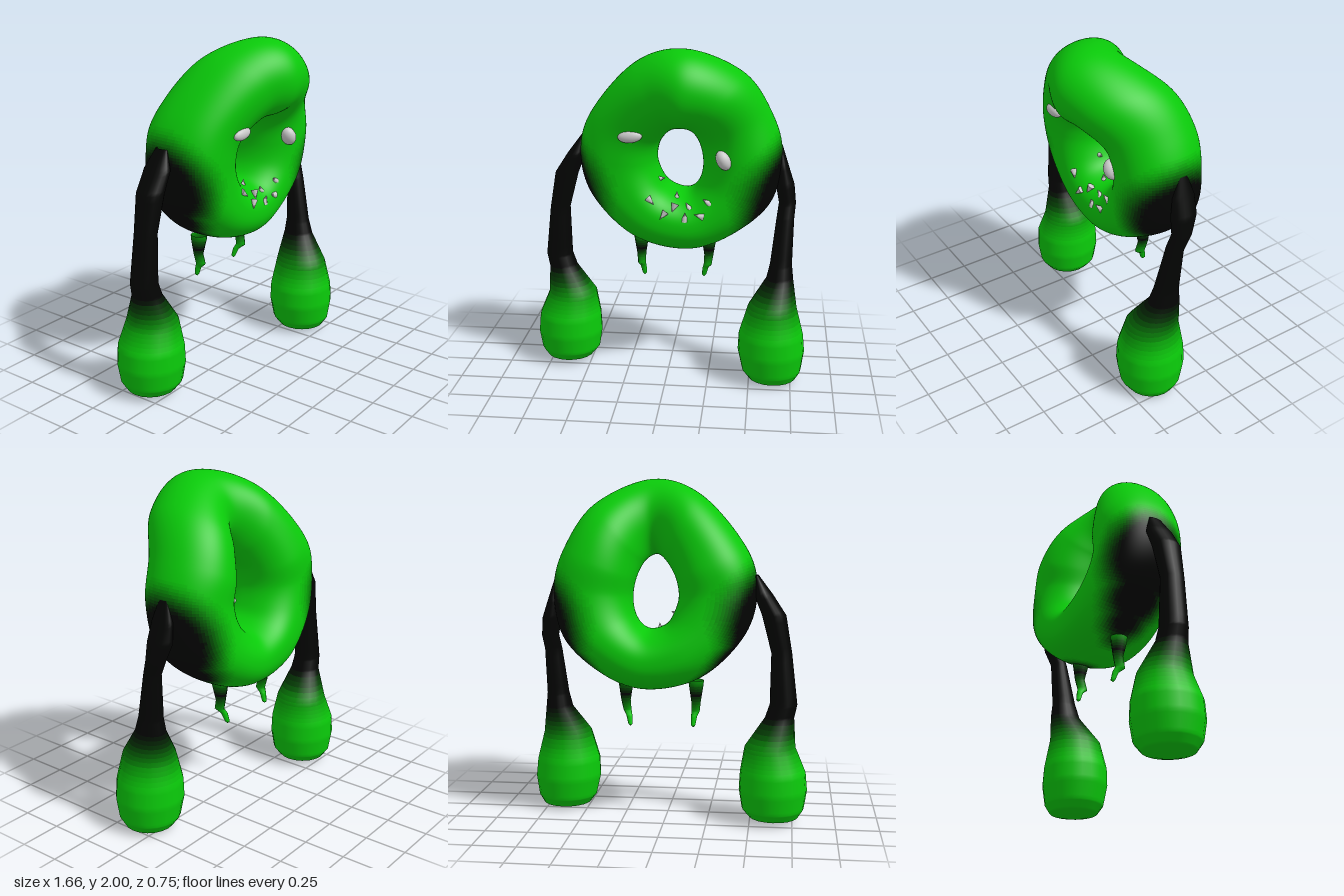
import * as THREE from 'three';

const BLACK = new THREE.Color(0x030403), GREEN = new THREE.Color(0x0aca0a);
const SHADES = 20;
const paint = Array.from({ length: SHADES }, (_, i) => new THREE.MeshStandardMaterial({
  color: BLACK.clone().lerp(GREEN, (i / (SHADES - 1)) ** 1.6), side: THREE.DoubleSide }));
const grey = new THREE.MeshStandardMaterial({ color: 0xcccccc });

// Skin over a list of closed rings; loop joins the last ring to the first
function loft(rings, loop) {
  const m = rings[0].length, n = rings.length, index = [];
  for (let i = 0; i < (loop ? n : n - 1); i++) {
    for (let j = 0; j < m; j++) {
      const k = (i + 1) % n, l = (j + 1) % m;
      const a = i * m + j, b = k * m + j, c = k * m + l, d = i * m + l;
      index.push(a, b, d, b, c, d);
    }
  }
  const geo = new THREE.BufferGeometry().setFromPoints(rings.flat());
  geo.setIndex(index);
  geo.computeVertexNormals();
  return geo;
}

// Splits a skin, four-sided patch by patch, into bands from black (0) to green (1)
function shaded(name, geo, shade) {
  const group = new THREE.Group();
  group.name = name;
  const bins = Array.from({ length: SHADES }, () => []);
  const pos = geo.attributes.position, idx = geo.index.array;
  const p = new THREE.Vector3(), v = new THREE.Vector3();
  for (let i = 0; i < idx.length; i += 6) {
    const patch = idx.slice(i, i + 6);
    p.set(0, 0, 0);
    patch.forEach(k => p.add(v.fromBufferAttribute(pos, k)));
    const s = THREE.MathUtils.clamp(shade(p.divideScalar(6)), 0, 1);
    bins[Math.round(s * (SHADES - 1))].push(...patch);
  }
  bins.forEach((bin, i) => {
    if (!bin.length) return;
    const part = new THREE.BufferGeometry();
    part.setAttribute('position', pos);
    part.setAttribute('normal', geo.attributes.normal);
    part.setIndex(bin);
    const mesh = new THREE.Mesh(part, paint[i]);
    mesh.name = `${name}Shade${i}`;
    group.add(mesh);
  });
  return group;
}

// Limb from horizontal rings [x, y, z, radiusX, radiusZ], listed from the top down
function limb(name, rows, sides, shade) {
  const rings = [], steps = 6;
  const ring = ([x, y, z, rx, rz]) => Array.from({ length: sides }, (_, j) => {
    const a = (j / sides) * Math.PI * 2;
    return new THREE.Vector3(x + rx * Math.cos(a), y, z - rz * Math.sin(a));
  });
  for (let i = 0; i < rows.length - 1; i++) {
    for (let s = 0; s < steps; s++) {
      rings.push(ring(rows[i].map((q, k) => THREE.MathUtils.lerp(q, rows[i + 1][k], s / steps))));
    }
  }
  rings.push(ring(rows[rows.length - 1]));
  return shaded(name, loft(rings, false), shade);
}

// Ring body: outer x, outer y, inner x, inner y, centre z, half depth
function bodyGeometry() {
  const stations = [
    [0.665, 1.37, 0.2, 1.32, -0.065, 0.25], [0.595, 1.62, 0.18, 1.43, -0.05, 0.26],
    [0.43, 1.86, 0.14, 1.52, 0.04, 0.28], [0.11, 2.0, 0.08, 1.555, 0.14, 0.24],
    [-0.19, 1.91, 0.01, 1.52, 0.04, 0.265], [-0.46, 1.61, -0.055, 1.43, -0.055, 0.265],
    [-0.53, 1.36, -0.075, 1.32, -0.075, 0.255], [-0.46, 1.1, -0.045, 1.22, -0.09, 0.26],
    [-0.22, 0.86, 0.0, 1.16, -0.1, 0.27], [0.09, 0.78, 0.08, 1.13, -0.1, 0.27],
    [0.35, 0.855, 0.14, 1.15, -0.1, 0.265], [0.6, 1.07, 0.185, 1.22, -0.085, 0.255]];
  const outer = new THREE.CatmullRomCurve3(stations.map(s => new THREE.Vector3(s[0], s[1], s[4])), true);
  const inner = new THREE.CatmullRomCurve3(stations.map(s => new THREE.Vector3(s[2], s[3], s[5])), true);
  outer.curveType = inner.curveType = 'catmullrom';
  const soft = (q, e) => Math.sign(q) * Math.abs(q) ** e;
  const rings = [];
  for (let i = 0; i < 180; i++) {
    const o = outer.getPoint(i / 180), n = inner.getPoint(i / 180), ring = [];
    // Blunt on its right and below, rounder on its left and on top
    const t = (i / 180) * Math.PI * 2, e = 0.92 + 0.06 * Math.cos(t) + 0.05 * Math.sin(t);
    for (let j = 0; j < 80; j++) {
      const a = (j / 80) * Math.PI * 2, c = (1 + soft(Math.cos(a), e)) / 2;
      ring.push(new THREE.Vector3(n.x + (o.x - n.x) * c, n.y + (o.y - n.y) * c, o.z + n.z * soft(Math.sin(a), e)));
    }
    rings.push(ring);
  }
  return loft(rings, true);
}

export function createModel() {
  const model = new THREE.Group();
  model.name = 'ringCreature';

  // Body, darkened around the shoulders, the lower flanks and the leg roots
  const bodyGeo = bodyGeometry();
  const spots = [[0.66, 1.14, -0.07, 0.2], [-0.52, 1.19, -0.11, 0.18], [0.5, 0.95, -0.11, 0.09],
    [-0.4, 0.97, -0.13, 0.1], [-0.28, 0.87, -0.13, 0.05], [0.235, 0.8, -0.12, 0], [-0.18, 0.8, -0.12, 0]]
    .map(([x, y, z, r]) => ({ at: new THREE.Vector3(x, y, z), r }));
  model.add(shaded('body', bodyGeo, p => Math.min(...spots.map(({ at, r }) =>
    THREE.MathUtils.smoothstep(at.distanceTo(p), r, 1.3 * r + 0.15)))));

  // Arms swelling into heavy hands
  const armShade = p => 1 - THREE.MathUtils.smoothstep(p.y, 0.3, 0.66);
  model.add(limb('rightArm', [
    [-0.525, 1.45, -0.1, 0.012, 0.04], [-0.565, 1.34, -0.1, 0.055, 0.085],
    [-0.628, 1.22, -0.1, 0.07, 0.085], [-0.675, 1.0, -0.1, 0.06, 0.07], [-0.69, 0.7, -0.11, 0.08, 0.08],
    [-0.668, 0.62, -0.11, 0.085, 0.09], [-0.615, 0.45, -0.12, 0.148, 0.155], [-0.633, 0.3, -0.12, 0.192, 0.195],
    [-0.635, 0.19, -0.12, 0.2, 0.2], [-0.635, 0.08, -0.12, 0.182, 0.182], [-0.64, 0.03, -0.12, 0.145, 0.145],
    [-0.64, 0.012, -0.12, 0.08, 0.08], [-0.64, 0.01, -0.12, 0, 0]], 20, armShade));
  model.add(limb('leftArm', [
    [0.652, 1.42, -0.07, 0.012, 0.03], [0.668, 1.3, -0.07, 0.035, 0.07],
    [0.685, 1.19, -0.065, 0.055, 0.08], [0.702, 1.08, -0.045, 0.05, 0.06], [0.692, 0.99, -0.01, 0.052, 0.05],
    [0.675, 0.72, 0.025, 0.065, 0.075], [0.67, 0.63, 0.035, 0.08, 0.095], [0.63, 0.47, 0.085, 0.145, 0.16],
    [0.627, 0.3, 0.09, 0.192, 0.195], [0.63, 0.19, 0.09, 0.2, 0.2], [0.635, 0.07, 0.09, 0.178, 0.18],
    [0.64, 0.02, 0.09, 0.145, 0.145], [0.64, 0.004, 0.09, 0.08, 0.08], [0.64, 0, 0.09, 0, 0]], 20, armShade));

  // Small bent legs, dark in the middle
  const legShade = p => Math.abs(p.y - 0.75) * 8;
  for (const [name, x, bend] of [['rightLeg', -0.18, 0.015], ['leftLeg', 0.235, -0.03]]) {
    model.add(limb(name, [
      [x, 0.835, -0.12, 0.046, 0.052], [x, 0.8, -0.12, 0.042, 0.05], [x, 0.71, -0.125, 0.028, 0.03],
      [x + bend * 0.2, 0.65, -0.11, 0.024, 0.032], [x + bend * 0.7, 0.62, -0.135, 0.018, 0.02],
      [x + bend, 0.57, -0.15, 0.013, 0.014], [x + bend, 0.557, -0.15, 0, 0]], 8, legShade));
  }

  // Point and normal on the front of the body
  const solid = new THREE.Mesh(bodyGeo, grey);
  const ray = new THREE.Raycaster();
  const front = (x, y) => {
    ray.set(new THREE.Vector3(x, y, 2), new THREE.Vector3(0, 0, -1));
    const hit = ray.intersectObject(solid)[0];
    return hit ? [hit.point, hit.face.normal] : [new THREE.Vector3(x, y, 0), new THREE.Vector3(0, 0, 1)];
  };

  // Eyes
  for (const [name, x, y, rx, ry, depth, turn] of [
    ['rightEye', -0.2, 1.512, 0.07, 0.036, 0.03, 0.08], ['leftEye', 0.33, 1.377, 0.042, 0.06, 0.05, 0.45]]) {
    const eye = new THREE.Mesh(new THREE.SphereGeometry(1, 20, 14), grey);
    eye.name = name;
    eye.position.copy(front(x, y)[0]);
    eye.scale.set(rx, ry, depth);
    eye.rotation.z = turn;
    model.add(eye);
  }

  // Teeth scattered below the opening: x, y, lean
  const teeth = [[-0.05, 1.215, 0.1], [-0.09, 1.115, -0.9], [-0.02, 1.035, -2.2], [0.04, 1.07, -1.9],
    [0.05, 1.12, 1.6], [0.125, 1.08, 2.2], [0.11, 1.03, 1.5], [0.19, 1.04, 2.9], [0.235, 1.12, 2.5]];
  for (const [x, y, lean] of teeth) {
    const [point, normal] = front(x, y);
    const axis = new THREE.Vector3(Math.cos(lean), Math.sin(lean), 0).addScaledVector(normal, 0.4).normalize();
    const tooth = new THREE.Mesh(new THREE.ConeGeometry(0.022, 0.056, 8), grey);
    tooth.name = 'tooth';
    tooth.position.copy(point).addScaledVector(normal, 0.006);
    tooth.quaternion.setFromUnitVectors(new THREE.Vector3(0, 1, 0), axis);
    model.add(tooth);
  }
  return model;
}
